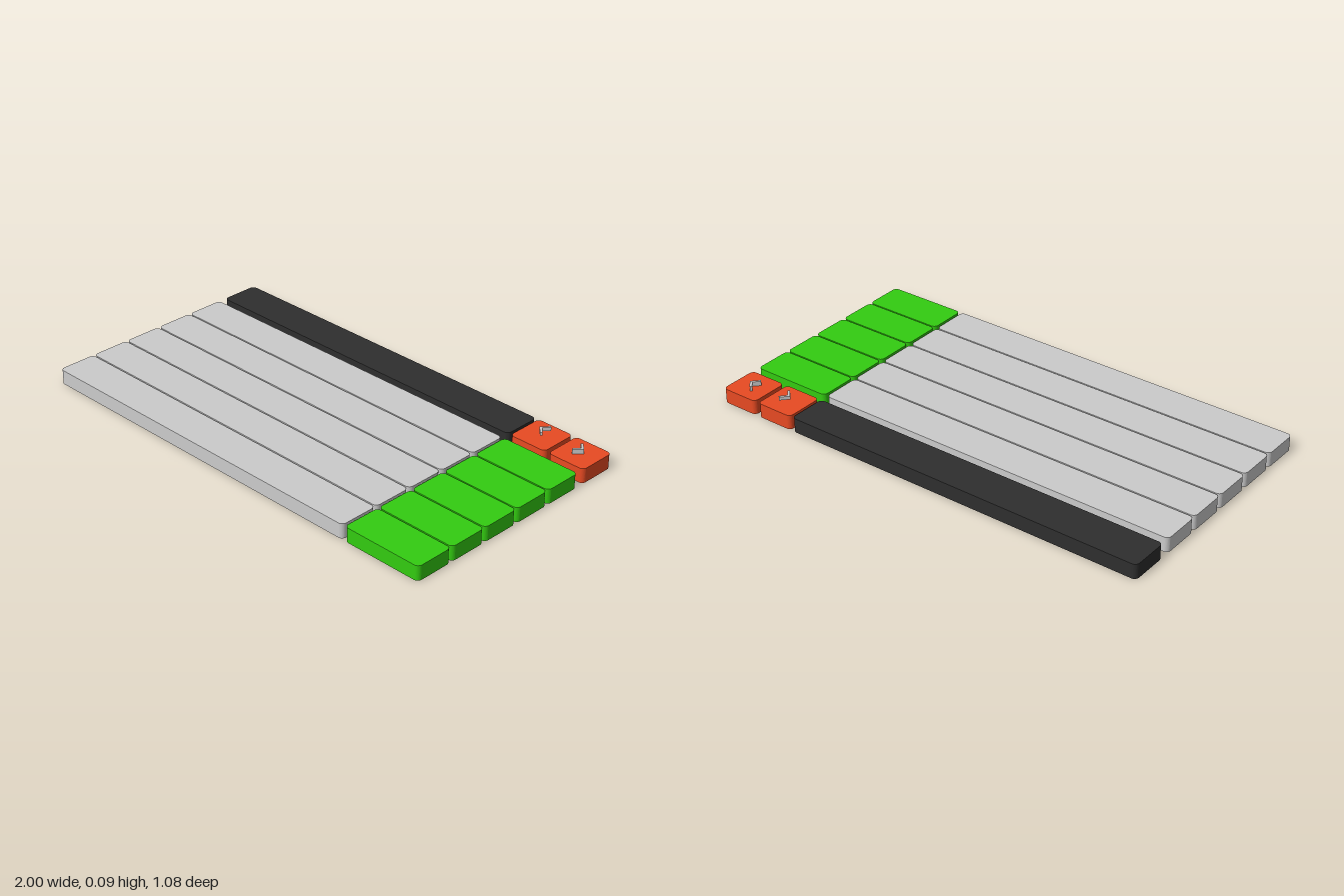
import * as THREE from 'three';

const HEIGHT = 0.063;
const grey = new THREE.MeshStandardMaterial({ color: 0xcccccc });
const green = new THREE.MeshStandardMaterial({ color: 0x33cc11 });
const red = new THREE.MeshStandardMaterial({ color: 0xe84a22 });
const black = new THREE.MeshStandardMaterial({ color: 0x2e2e2e });

// Lay an extruded plan outline flat, rising from y = 0
function slab(shape, height) {
  const geometry = new THREE.ExtrudeGeometry(shape, { depth: height, bevelEnabled: false, curveSegments: 5 });
  return geometry.rotateX(-Math.PI / 2);
}

// Plate with corners rounded in plan, spanning x0..x1 and centred on z
function plate(name, x0, x1, z, material) {
  const w = (x1 - x0) / 2, d = 0.085, r = 0.02;
  const s = new THREE.Shape();
  s.absarc(w - r, d - r, r, 0, Math.PI / 2);
  s.absarc(-w + r, d - r, r, Math.PI / 2, Math.PI);
  s.absarc(-w + r, -d + r, r, Math.PI, Math.PI * 1.5);
  s.absarc(w - r, -d + r, r, Math.PI * 1.5, Math.PI * 2);
  const mesh = new THREE.Mesh(slab(s, HEIGHT), material);
  mesh.name = name;
  mesh.position.set((x0 + x1) / 2, 0, z);
  return mesh;
}

// Arrow symbol; dir is -1 or +1 along x
function arrow(name, x, y, height, dir) {
  const h = 0.033, w = 0.019, t = 0.014;
  const points = [[w, 0], [-w + t / 2, h], [-w, h - t / 2], [w - t, 0], [-w, -h + t / 2], [-w + t / 2, -h]];
  const s = new THREE.Shape(points.map(([px, py]) => new THREE.Vector2(px * dir, py)));
  const mesh = new THREE.Mesh(slab(s, height), grey);
  mesh.name = name;
  mesh.position.set(x, y, -0.46);
  return mesh;
}

export function createModel() {
  const model = new THREE.Group();
  model.name = 'listPanel';

  // Five rows, each a long bar with a side button
  for (let i = 0; i < 5; i++) {
    const z = 0.453 - i * 0.176;
    model.add(plate('rowBar' + (i + 1), -1, 0.628, z, grey));
    model.add(plate('rowButton' + (i + 1), 0.64, 1, z, green));
  }

  // Header bar and paging buttons along the back edge
  const z = -0.455;
  model.add(plate('headerBar', -1, 0.628, z, black));
  model.add(plate('previousButton', 0.64, 0.811, z, red));
  model.add(plate('nextButton', 0.829, 1, z, red));

  // Arrow symbols above the paging buttons
  model.add(arrow('previousArrow', 0.728, 0.078, 0.015, -1));
  model.add(arrow('nextArrow', 0.911, 0.064, 0.02, 1));
  return model;
}
